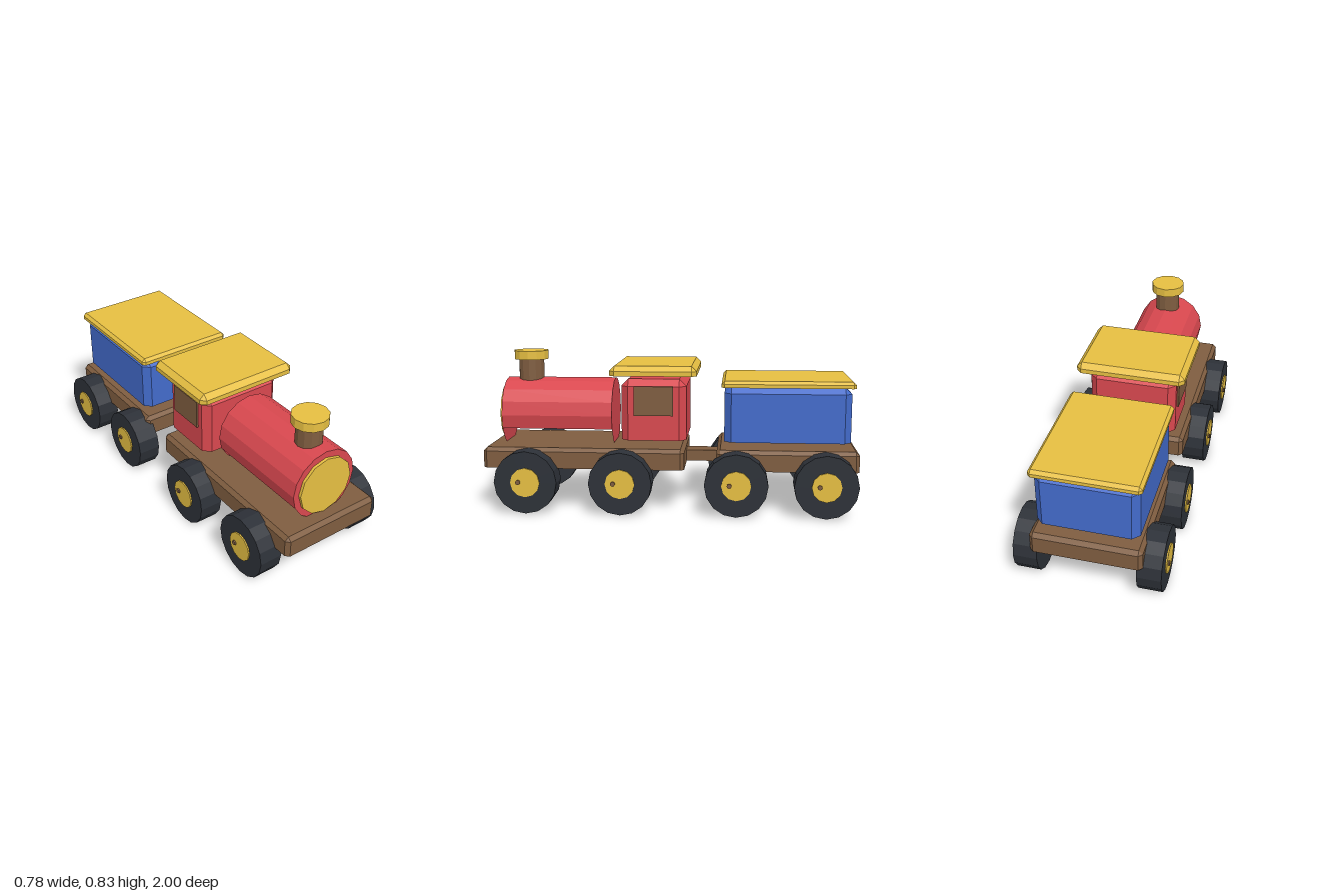
import * as THREE from 'three';

const paint = (color) => new THREE.MeshStandardMaterial({ color, flatShading: true, side: THREE.DoubleSide });

// Chamfered box with an open underside; b is the chamfer on the top and upright edges
function chamferBox(w, y0, y1, z0, z1, b) {
  const hx = w / 2, hz = (z1 - z0) / 2, zc = (z0 + z1) / 2;
  const ring = [], top = [];
  // Corners run counter-clockwise as seen from above
  for (const [sx, sz] of [[1, 1], [1, -1], [-1, -1], [-1, 1]]) {
    const alongX = [sx * (hx - b), zc + sz * hz];
    const alongZ = [sx * hx, zc + sz * (hz - b)];
    ring.push(...(sx * sz > 0 ? [alongX, alongZ] : [alongZ, alongX]));
    top.push([sx * (hx - b), y1, zc + sz * (hz - b)]);
  }
  const pos = [];
  const tri = (...pts) => pts.forEach((p) => pos.push(...p));
  const quad = (p, q, r, s) => { tri(p, q, r); tri(p, r, s); };
  const at = (i, y) => [ring[i % 8][0], y, ring[i % 8][1]];
  const ym = y1 - b;
  for (let i = 0; i < 8; i++) {
    quad(at(i, y0), at(i + 1, y0), at(i + 1, ym), at(i, ym));
    const c = Math.floor(i / 2);
    if (i % 2 === 0) tri(at(i, ym), at(i + 1, ym), top[c]);
    else quad(at(i, ym), at(i + 1, ym), top[(c + 1) % 4], top[c]);
  }
  quad(...top);
  const geo = new THREE.BufferGeometry();
  geo.setAttribute('position', new THREE.Float32BufferAttribute(pos, 3));
  geo.computeVertexNormals();
  return geo;
}

export function createModel() {
  const model = new THREE.Group();
  model.name = 'toyTrain';
  const red = paint(0xd9484f), yellow = paint(0xe6bf42), blue = paint(0x436bcb);
  const brown = paint(0x7f5d40), dark = paint(0x2d3138);

  const add = (name, geo, mat, x = 0, y = 0, z = 0, parent = model) => {
    const mesh = new THREE.Mesh(geo, mat);
    mesh.name = name;
    mesh.position.set(x, y, z);
    parent.add(mesh);
    return mesh;
  };

  // Chassis and coupling
  add('engineChassis', chamferBox(0.566, 0.225, 0.335, -0.08, 1, 0.02), brown);
  add('wagonChassis', chamferBox(0.566, 0.225, 0.335, -1, -0.25, 0.02), brown);
  add('coupling', new THREE.BoxGeometry(0.11, 0.06, 0.21), brown, 0, 0.262, -0.165);

  // Cab, wagon body and their roofs
  add('cab', chamferBox(0.47, 0.375, 0.702, -0.088, 0.26, 0.038), red);
  add('cabRoof', chamferBox(0.584, 0.725, 0.777, -0.145, 0.315, 0.027), yellow);
  add('wagonBody', chamferBox(0.516, 0.375, 0.67, -0.955, -0.29, 0.036), blue);
  add('wagonRoof', chamferBox(0.55, 0.667, 0.702, -0.972, -0.275, 0.016), yellow);
  for (const s of [1, -1]) {
    add('cabWindow', new THREE.BoxGeometry(0.02, 0.156, 0.21), brown, s * 0.235, 0.588, 0.085);
  }

  // Boiler: a shell left open along the bottom, with full end discs
  const shell = (r, len, sides, from, count) => {
    const step = (Math.PI * 2) / sides;
    return new THREE.CylinderGeometry(r, r, len, count, 1, true, from * step, count * step).rotateX(Math.PI / 2);
  };
  add('boiler', shell(0.19, 0.6, 16, 3, 10), red, 0, 0.495, 0.616);
  add('boilerFront', new THREE.CircleGeometry(0.19, 16), red, 0, 0.495, 0.916);
  add('boilerBack', new THREE.CircleGeometry(0.19, 16).rotateY(Math.PI), red, 0, 0.495, 0.316);
  add('nosePlateRim', shell(0.158, 0.015, 12, 2, 8), yellow, 0, 0.493, 0.9235);
  add('nosePlate', new THREE.CircleGeometry(0.158, 12), yellow, 0, 0.493, 0.931);

  // Chimney with a hollow cap
  add('chimney', new THREE.CylinderGeometry(0.07, 0.07, 0.13, 12, 1, true), brown, 0, 0.725, 0.787);
  add('chimneyCapRim', new THREE.CylinderGeometry(0.095, 0.095, 0.048, 12, 1, true), yellow, 0, 0.81, 0.787);
  add('chimneyCapTop', new THREE.CircleGeometry(0.095, 12).rotateX(-Math.PI / 2).rotateY(Math.PI / 2), yellow, 0, 0.834, 0.787);

  // Wheels, each with a hub and an off-centre crank pin
  const disc = (r, w, n) => new THREE.CylinderGeometry(r, r, w, n).rotateZ(Math.PI / 2);
  const tyreGeo = disc(0.167, 0.124, 16), hubGeo = disc(0.078, 0.03, 12), pinGeo = disc(0.013, 0.03, 8);
  for (const z of [0.753, 0.251, -0.357, -0.823]) {
    for (const side of [1, -1]) {
      const wheel = new THREE.Group();
      wheel.name = side > 0 ? 'leftWheel' : 'rightWheel';
      wheel.position.set(side * 0.313, 0.167, z);
      if (side < 0) wheel.rotation.y = Math.PI;
      add('tyre', tyreGeo, dark, 0, 0, 0, wheel);
      add('hub', hubGeo, yellow, 0.054, 0.001, 0, wheel);
      add('crankPin', pinGeo, brown, 0.062, 0.003, 0.036, wheel);
      model.add(wheel);
    }
  }
  return model;
}
